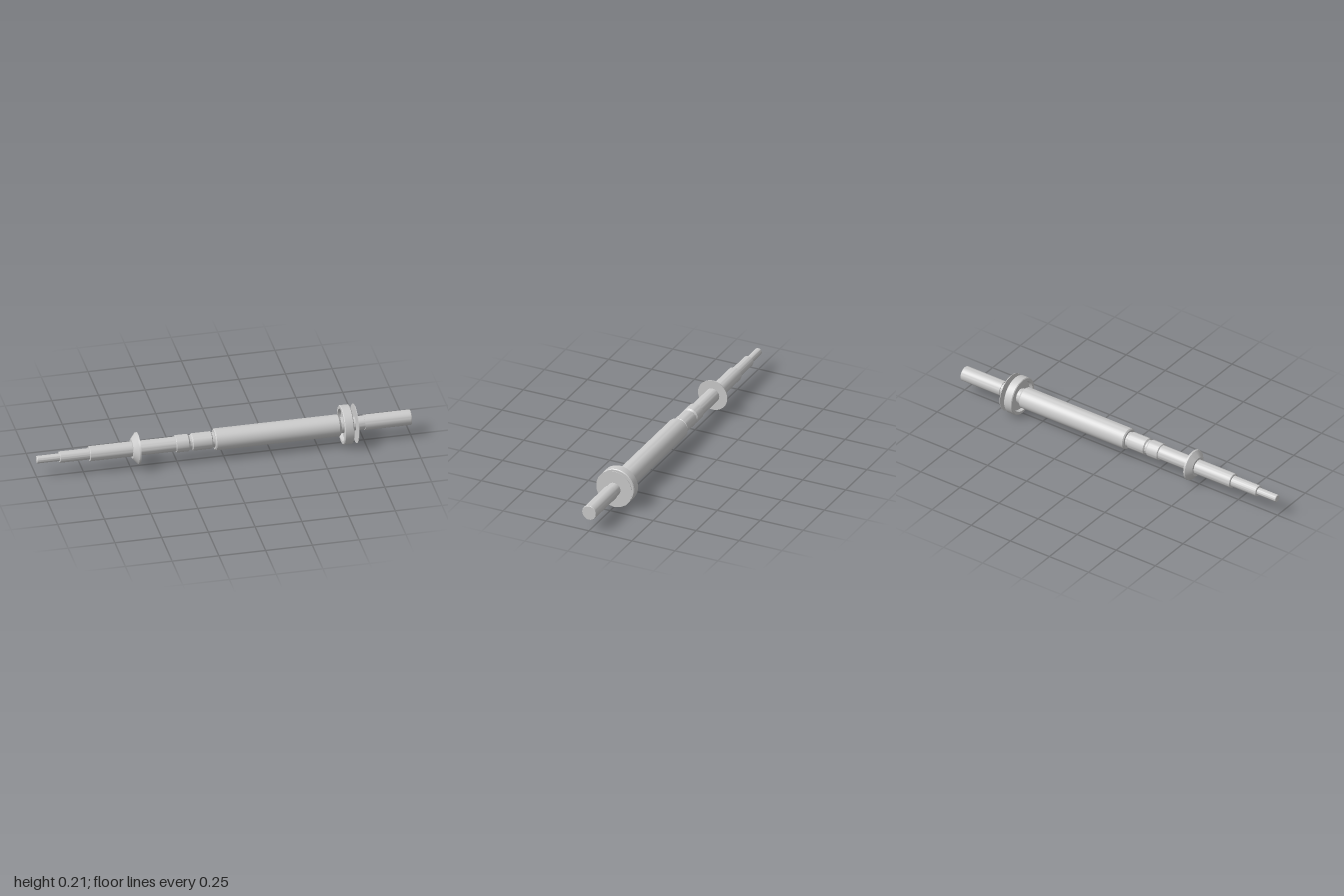
import * as THREE from 'three';
import { toCreasedNormals } from 'three/addons/utils/BufferGeometryUtils.js';

const AXIS_Y = 0.106;

export function createModel() {
  const group = new THREE.Group();
  const material = new THREE.MeshStandardMaterial({ color: 0xcccccc });

  // Turned part: profile of [x, radius] pairs from -x to +x, revolved about the x axis
  function turned(name, profile, segments = 36) {
    const points = profile.map(([x, r]) => new THREE.Vector2(r, x));
    const lathe = new THREE.LatheGeometry(points, segments, Math.PI / 2);
    lathe.rotateZ(-Math.PI / 2);
    lathe.translate(0, AXIS_Y, 0);
    const mesh = new THREE.Mesh(toCreasedNormals(lathe, 0.45), material);
    mesh.name = name;
    group.add(mesh);
  }

  // Stepped thin end
  turned('steppedEnd', [
    [-1, 0], [-1, 0.018], [-0.997, 0.02], [-0.88, 0.02],
    [-0.88, 0.027], [-0.877, 0.03], [-0.72, 0.03],
    [-0.72, 0.037], [-0.717, 0.04], [-0.48, 0.04], [-0.48, 0],
  ]);

  // Conical flange with a flat rim
  turned('conicalFlange', [
    [-0.492, 0.038], [-0.492, 0.052], [-0.466, 0.083],
    [-0.457, 0.085], [-0.457, 0.038],
  ]);

  // Middle shaft with two grooved collars
  turned('collarShaft', [
    [-0.48, 0], [-0.48, 0.039], [-0.26, 0.039],
    [-0.26, 0.043], [-0.257, 0.046], [-0.193, 0.046], [-0.19, 0.043],
    [-0.185, 0.039], [-0.175, 0.039],
    [-0.172, 0.043], [-0.169, 0.046], [-0.069, 0.046], [-0.064, 0.041],
    [-0.04, 0.041], [-0.04, 0],
  ]);

  // Thick barrel with chamfered ends
  turned('barrel', [
    [-0.052, 0], [-0.052, 0.052], [-0.046, 0.058], [0.611, 0.058],
    [0.622, 0.049], [0.622, 0.042], [0.64, 0.042], [0.64, 0],
  ]);

  // Thick disc, shallow recess on its inner face
  turned('discHub', [
    [0.645, 0.04], [0.645, 0.082], [0.628, 0.086], [0.628, 0.1],
    [0.632, 0.104], [0.674, 0.104], [0.678, 0.1], [0.678, 0.03],
  ]);

  // Thin washer with few sides
  turned('washer', [
    [0.701, 0.03], [0.701, 0.105], [0.704, 0.105], [0.704, 0.03],
  ], 18);

  // Plain end shaft with a slightly narrower neck
  turned('endShaft', [
    [0.64, 0], [0.64, 0.037], [0.75, 0.037], [0.75, 0.041],
    [0.997, 0.041], [1, 0.039], [1, 0],
  ]);

  return group;
}
